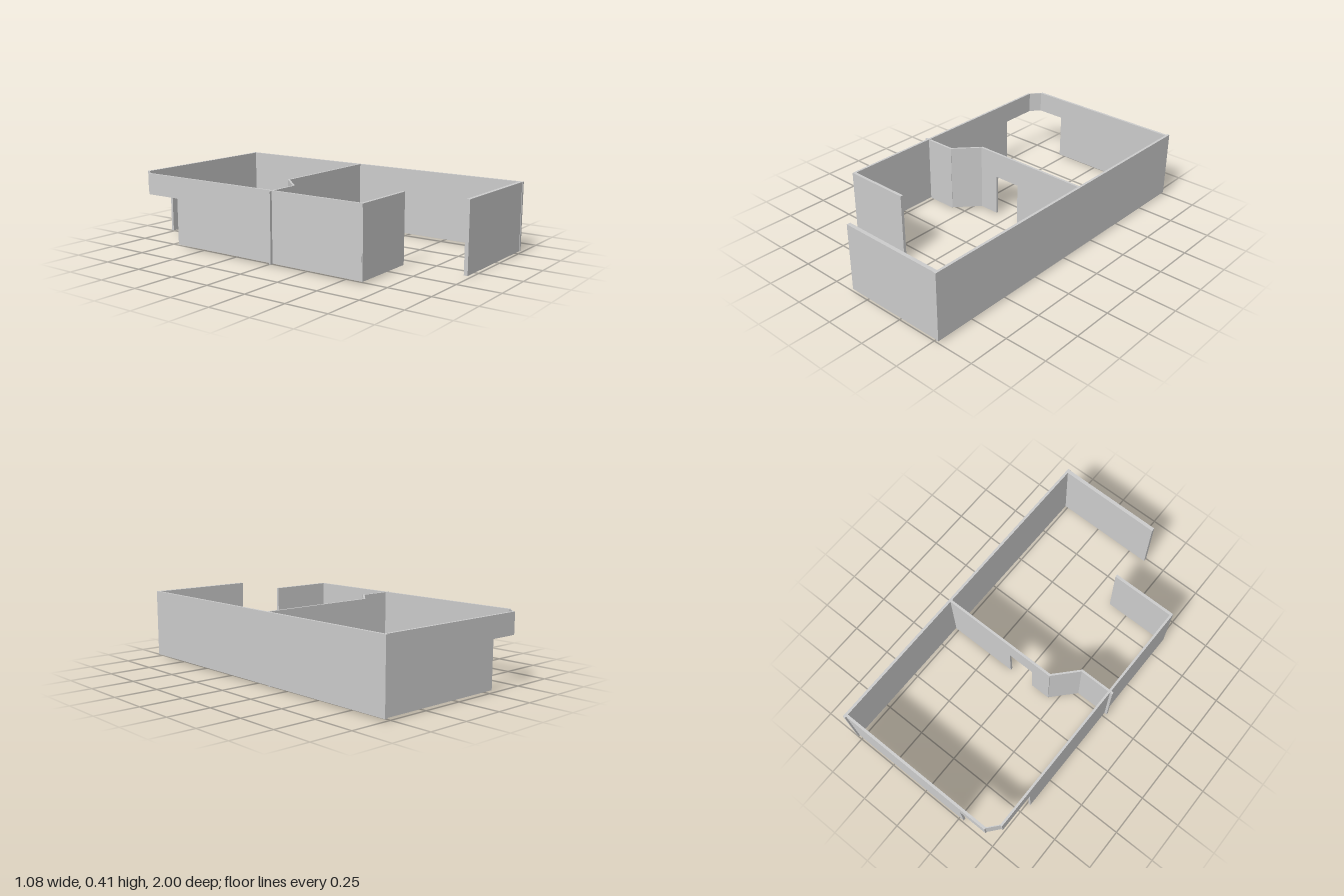
import * as THREE from 'three';

const TOP = 0.414, BASE = 0.012;

export function createModel() {
  const model = new THREE.Group();
  const material = new THREE.MeshStandardMaterial({ color: 0xcccccc, flatShading: true });

  // Upright wall along the plan line (x0, z0)-(x1, z1); an opening is cut up from the base.
  function wall(name, [x0, z0], [x1, z1], thick, { base = BASE, top = TOP, opening } = {}) {
    const len = Math.hypot(x1 - x0, z1 - z0);
    const s = new THREE.Shape();
    s.moveTo(0, top);
    s.lineTo(0, base);
    if (opening) {
      const [from, to, head] = opening;
      if (from > 0) s.lineTo(from, base);
      else s.moveTo(0, top);
      s.lineTo(from, head);
      s.lineTo(to, head);
      s.lineTo(to, base);
    }
    s.lineTo(len, base);
    s.lineTo(len, top);
    s.closePath();
    const geo = new THREE.ExtrudeGeometry(s, { depth: thick, bevelEnabled: false });
    geo.translate(0, 0, -thick / 2);
    const mesh = new THREE.Mesh(geo, material);
    mesh.name = name;
    mesh.position.set(x0, 0, z0);
    mesh.rotation.y = -Math.atan2(z1 - z0, x1 - x0);
    model.add(mesh);
  }

  // Outer walls; the long side wall leans slightly in plan
  wall('longSideWall', [0.529, -1], [0.521, 1], 0.015);
  wall('frontWall', [-0.118, 0.984], [0.52, 0.986], 0.022);
  wall('entryWall', [-0.524, 0.609], [-0.126, 0.609], 0.017);

  // Back corner: two walls and a chamfer share a raised opening
  const HEAD = 0.287;
  wall('backWall', [-0.28, -0.983], [0.522, -0.983], 0.015);
  wall('backHeader', [-0.46, -0.983], [-0.28, -0.983], 0.015, { base: HEAD });
  wall('cornerHeader', [-0.511, -0.918], [-0.458, -0.98], 0.005, { base: HEAD });
  wall('sideHeader', [-0.515, -0.92], [-0.515, -0.685], 0.013, { base: HEAD });
  wall('shortSideWall', [-0.515, -0.685], [-0.518, 0.612], 0.013);

  // Partition across the middle: stub, diagonal, and a wall with a doorway
  wall('partitionStub', [-0.539, 0.025], [-0.324, 0.025], 0.013, { base: 0.009, top: 0.412 });
  wall('partitionDiagonal', [-0.327, 0.027], [-0.2, -0.109], 0.011);
  wall('partitionDoorWall', [-0.203, -0.109], [0.085, -0.109], 0.014, { opening: [0.125, 0.288, 0.26] });
  wall('partitionLongWall', [0.085, -0.109], [0.518, -0.109], 0.014, { base: 0 });

  return model;
}
